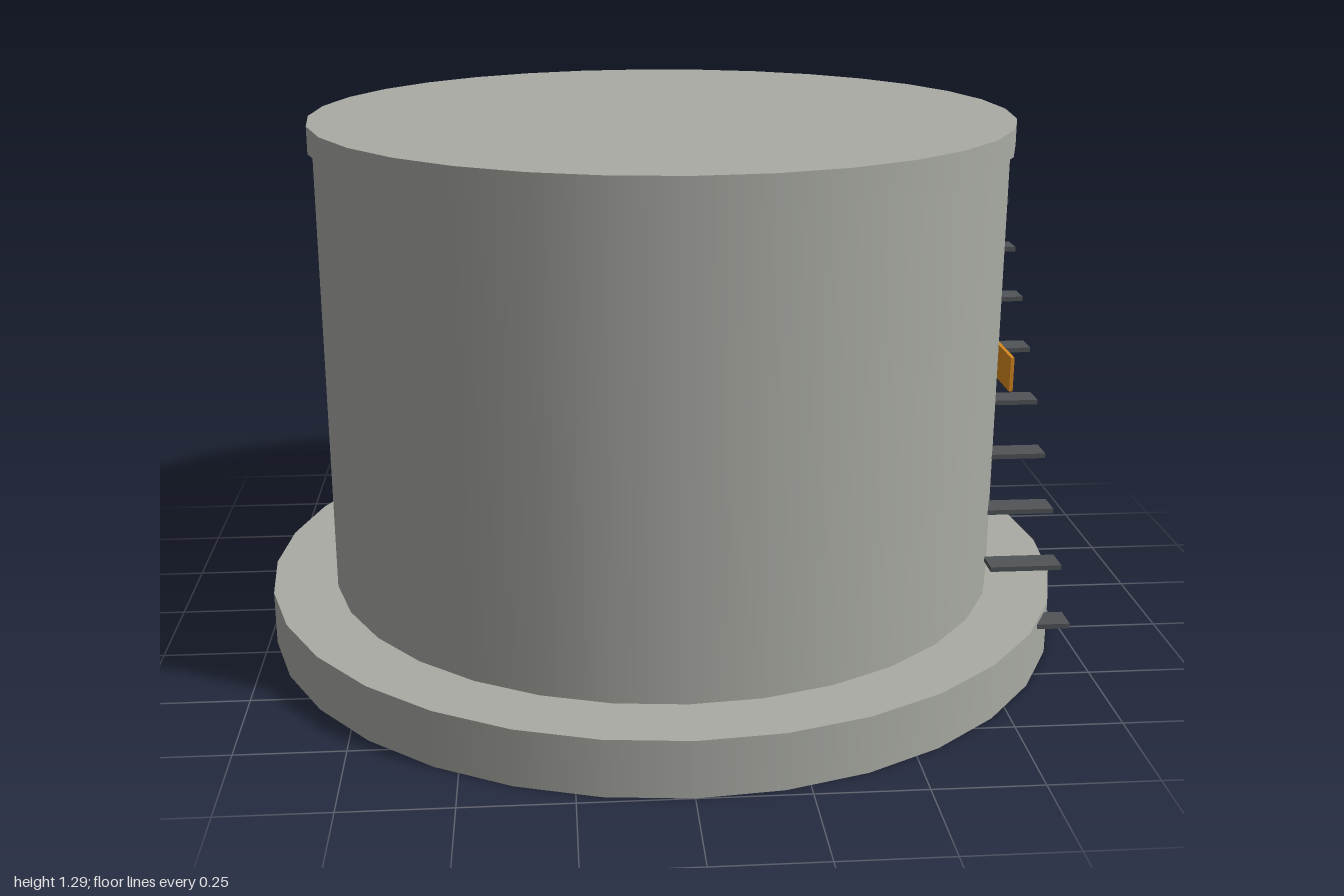
import * as THREE from 'three';

export function createModel() {
  const model = new THREE.Group();
  const paint = new THREE.MeshStandardMaterial({ color: 0xa8aaa3 });
  paint.name = 'tank grey';
  const steel = new THREE.MeshStandardMaterial({ color: 0x505456 });
  steel.name = 'dark steel';
  const orange = new THREE.MeshStandardMaterial({ color: 0xd6881f });
  orange.name = 'sign orange';

  const add = (name, geometry, material, x, y, z) => {
    const mesh = new THREE.Mesh(geometry, material);
    mesh.name = name;
    mesh.position.set(x, y, z);
    model.add(mesh);
  };
  const disc = (name, radius, y0, y1) =>
    add(name, new THREE.CylinderGeometry(radius, radius, y1 - y0, 32), paint, 0, (y0 + y1) / 2, 0);

  // Tank: wide foundation, shell and slightly overhanging roof
  disc('foundation', 1, 0, 0.135);
  disc('shell', 0.842, 0.135, 1.228);
  disc('roof', 0.853, 1.228, 1.292);

  // Flat sign plate on the left side
  add('signPlate', new THREE.BoxGeometry(0.009, 0.087, 0.447), orange, 0.8455, 0.672, 0.002);

  // Staircase treads climbing from front to back
  const tread = new THREE.BoxGeometry(0.175, 0.012, 0.067);
  for (let i = 0; i < 10; i++) {
    add('stairTread' + (i + 1), tread, steel, 0.8635, 0.116 + i * 0.1112, 0.449 - i * 0.0936);
  }
  return model;
}
